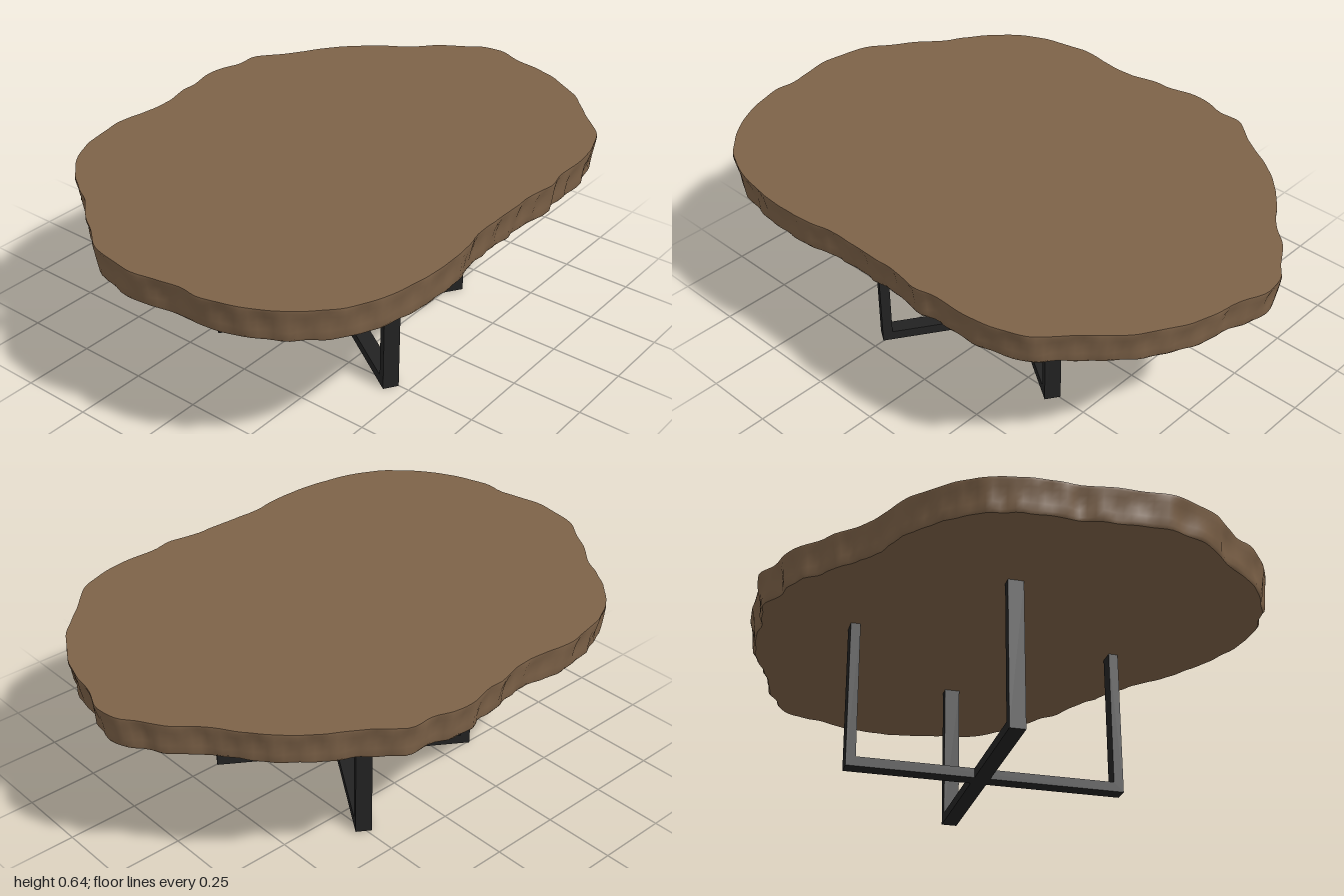
import * as THREE from 'three';

// Live-edge slab outline as x, z pairs, counter-clockwise seen from above
const OUTLINE = [
  1.0, 0.0, 0.985, -0.08, 0.95, -0.13, 0.9, -0.21, 0.81, -0.3, 0.75, -0.39, 0.68, -0.47,
  0.6, -0.54, 0.5, -0.6, 0.42, -0.66, 0.37, -0.7, 0.29, -0.7, 0.21, -0.725, 0.14, -0.73,
  0.06, -0.71, -0.02, -0.705, -0.1, -0.685, -0.17, -0.68, -0.25, -0.69, -0.34, -0.7,
  -0.43, -0.685, -0.53, -0.66, -0.62, -0.61, -0.7, -0.53, -0.75, -0.46, -0.79, -0.39,
  -0.86, -0.31, -0.92, -0.22, -0.97, -0.15, -0.99, -0.06, -1.0, 0.02, -0.985, 0.12,
  -0.97, 0.2, -0.975, 0.27, -0.95, 0.37, -0.9, 0.48, -0.83, 0.57, -0.75, 0.64,
  -0.64, 0.69, -0.52, 0.715, -0.38, 0.725, -0.26, 0.715, -0.18, 0.7, 0.0, 0.7,
  0.12, 0.7, 0.21, 0.715, 0.29, 0.7, 0.42, 0.7, 0.54, 0.675, 0.62, 0.64, 0.7, 0.56,
  0.77, 0.49, 0.84, 0.42, 0.88, 0.35, 0.925, 0.27, 0.95, 0.18, 0.965, 0.1,
];
const BOTTOM = 0.53, TOP = 0.645, N = 240;

function geometryFrom(positions, indices) {
  const geo = new THREE.BufferGeometry();
  geo.setAttribute('position', new THREE.Float32BufferAttribute(positions, 3));
  geo.setIndex(indices);
  geo.computeVertexNormals();
  return geo;
}

// Small vertical chips and grooves of the bark edge
function bark(a, y) {
  const slant = y * 14;
  return 0.004 * Math.sin(a * 37 + slant + 2 * Math.sin(a * 5))
    + 0.003 * Math.sin(a * 61 - slant * 1.7 + 3 * Math.sin(a * 3));
}

function createSlab(material) {
  const slab = new THREE.Group();
  slab.name = 'tabletop';
  const points = [];
  for (let i = 0; i < OUTLINE.length; i += 2) {
    points.push(new THREE.Vector3(OUTLINE[i], 0, OUTLINE[i + 1]));
  }
  const curve = new THREE.CatmullRomCurve3(points, true);
  const path = curve.getSpacedPoints(N).slice(0, N);

  // Rings from the underside to the top: height, inset, bark strength
  const rings = [
    [BOTTOM, 0.022, 0.6], [BOTTOM + 0.01, 0.014, 1], [0.565, 0.012, 1.2],
    [0.59, 0.009, 1.2], [0.615, 0.005, 1], [TOP - 0.01, 0.001, 0.5], [TOP, 0.002, 0.2],
  ].map(([y, inset, rough]) => path.map((p) => {
    const a = Math.atan2(p.z, p.x);
    const r = Math.hypot(p.x, p.z) - inset - rough * (0.004 + bark(a, y));
    return [r * Math.cos(a), y, r * Math.sin(a)];
  }));

  // Bark edge
  const index = [];
  for (let k = 0; k < rings.length - 1; k++) {
    for (let i = 0; i < N; i++) {
      const j = (i + 1) % N;
      const a = k * N + i, b = k * N + j, c = a + N, d = b + N;
      index.push(a, b, d, a, d, c);
    }
  }
  const edge = new THREE.Mesh(geometryFrom(rings.flat(2), index), material);
  edge.name = 'barkEdge';
  slab.add(edge);

  // Flat top and underside
  const addCap = (name, ring, up) => {
    const fan = [];
    for (let i = 0; i < N; i++) {
      const j = (i + 1) % N;
      fan.push(N, up ? i : j, up ? j : i);
    }
    const cap = new THREE.Mesh(geometryFrom([...ring.flat(), 0, ring[0][1], 0], fan), material);
    cap.name = name;
    slab.add(cap);
  };
  addCap('topFace', rings[rings.length - 1], true);
  addCap('underside', rings[0], false);
  return slab;
}

// U-shaped flat-bar frame: a floor bar with an upright at each end
function createFrame(name, halfLength, angle, cx, cz, material) {
  const width = 0.055, thick = 0.034;
  const frame = new THREE.Group();
  frame.name = name;
  const shape = new THREE.Shape();
  const inner = halfLength - thick;
  [[-halfLength, 0], [halfLength, 0], [halfLength, BOTTOM + 0.005], [inner, BOTTOM + 0.005],
    [inner, thick], [-inner, thick], [-inner, BOTTOM + 0.005], [-halfLength, BOTTOM + 0.005]]
    .forEach(([x, y], i) => (i ? shape.lineTo(x, y) : shape.moveTo(x, y)));
  const geo = new THREE.ExtrudeGeometry(shape, { depth: width, bevelEnabled: false });
  geo.translate(0, 0, -width / 2);
  const bar = new THREE.Mesh(geo, material);
  bar.name = name + 'Bar';
  frame.add(bar);
  frame.position.set(cx, 0, cz);
  frame.rotation.y = angle;
  return frame;
}

export function createModel() {
  const wood = new THREE.MeshStandardMaterial({ color: 0x7d6248 });
  wood.name = 'brownWood';
  const metal = new THREE.MeshStandardMaterial({ color: 0x222222 });
  metal.name = 'blackMetal';

  const table = new THREE.Group();
  table.name = 'table';
  table.add(createSlab(wood));
  // Two frames crossing at right angles
  table.add(createFrame('longFrame', 0.488, Math.atan2(0.785, 0.51), -0.008, 0.036, metal));
  table.add(createFrame('shortFrame', 0.457, Math.atan2(-0.49, 0.745), -0.002, 0.018, metal));
  return table;
}
